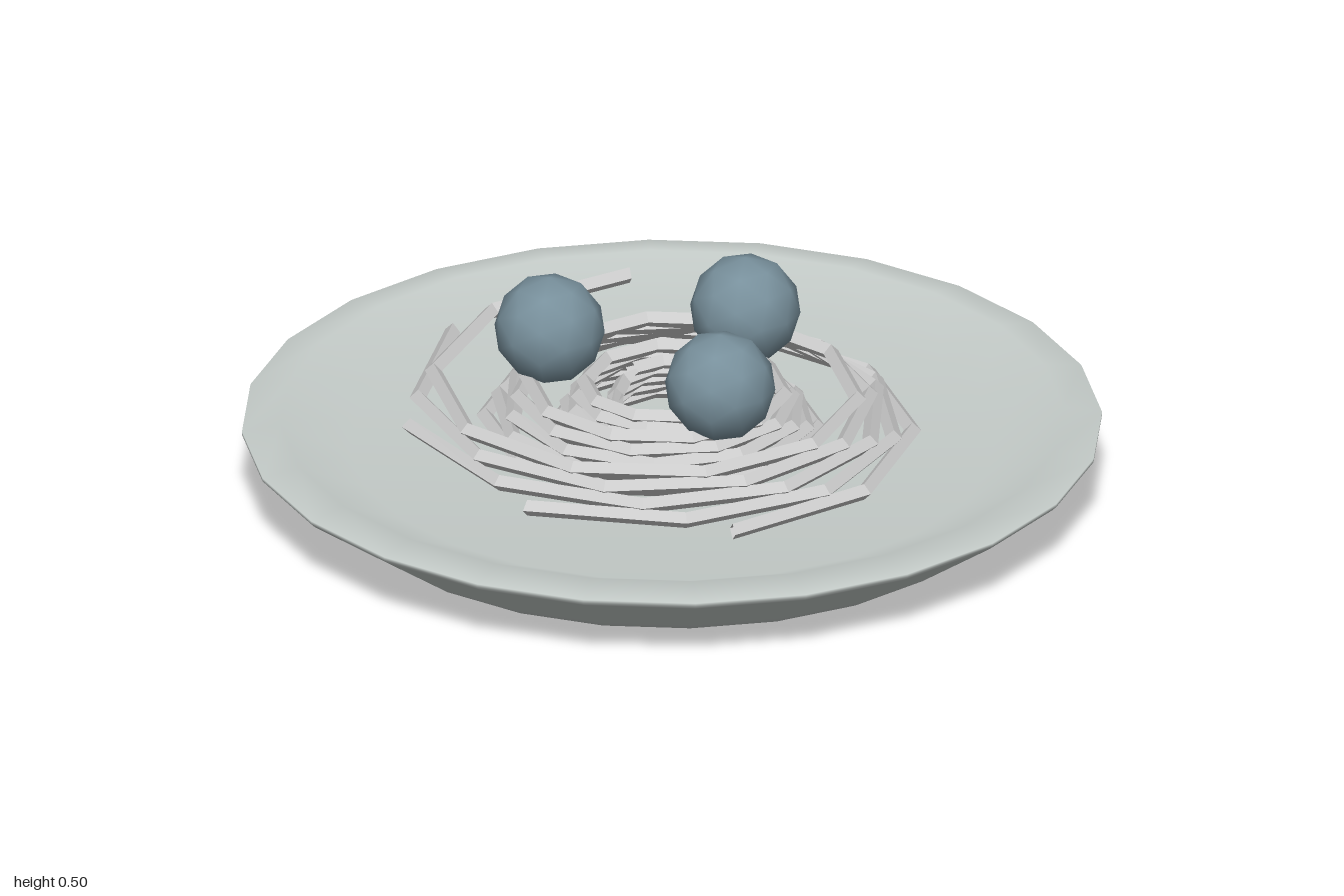
import * as THREE from 'three';

const STEPS = 31;

// Flat logarithmic spiral, sampled at equal angles so the strands stay angular
class Spiral extends THREE.Curve {
  constructor(startAngle, y) {
    super();
    this.startAngle = startAngle;
    this.y = y;
  }
  getPoint(t, target = new THREE.Vector3()) {
    const a = this.startAngle - t * STEPS * Math.PI / 5;
    const r = 0.62 * Math.exp(-1.56 * t);
    return target.set(r * Math.cos(a), this.y, r * Math.sin(a));
  }
  getPointAt(u, target) { return this.getPoint(u, target); }
  getTangentAt(u, target) { return this.getTangent(u, target); }
}

export function createModel() {
  const model = new THREE.Group();
  const glaze = new THREE.MeshStandardMaterial({ color: 0xc4cbc8 });
  const grey = new THREE.MeshStandardMaterial({
    color: 0xcccccc, side: THREE.DoubleSide, flatShading: true,
  });
  const blue = new THREE.MeshStandardMaterial({ color: 0x78909c });

  const add = (name, geometry, material, parent = model) => {
    const mesh = new THREE.Mesh(geometry, material);
    mesh.name = name;
    parent.add(mesh);
    return mesh;
  };

  // Plate: flat base, flared wall, sloping lip and a sunken floor
  const profile = [
    [0, 0], [0.7, 0], [0.78, 0.002], [0.81, 0.023], [0.99, 0.15], [1, 0.16], [1, 0.168],
    [0.91, 0.183], [0.75, 0.11], [0, 0.105],
  ].map(([r, y]) => new THREE.Vector2(r, y));
  add('plate', new THREE.LatheGeometry(profile, 24), glaze);

  // Nest: five stacked strands, each turned a little from the one below
  const nest = new THREE.Group();
  nest.name = 'nest';
  model.add(nest);
  for (let i = 0; i < 5; i++) {
    const start = THREE.MathUtils.degToRad(35 + 46 * i);
    const curve = new Spiral(start, 0.168 + 0.0225 * i);
    add(`strand${i + 1}`, new THREE.TubeGeometry(curve, STEPS, 0.02, 4), grey, nest);
  }

  // Balls resting on the nest
  const ball = new THREE.IcosahedronGeometry(0.13, 1);
  [['backBall', 0, -0.255], ['rightBall', -0.265, 0.13], ['leftBall', 0.24, 0.1]]
    .forEach(([name, x, z]) => add(name, ball, blue).position.set(x, 0.37, z));

  return model;
}
